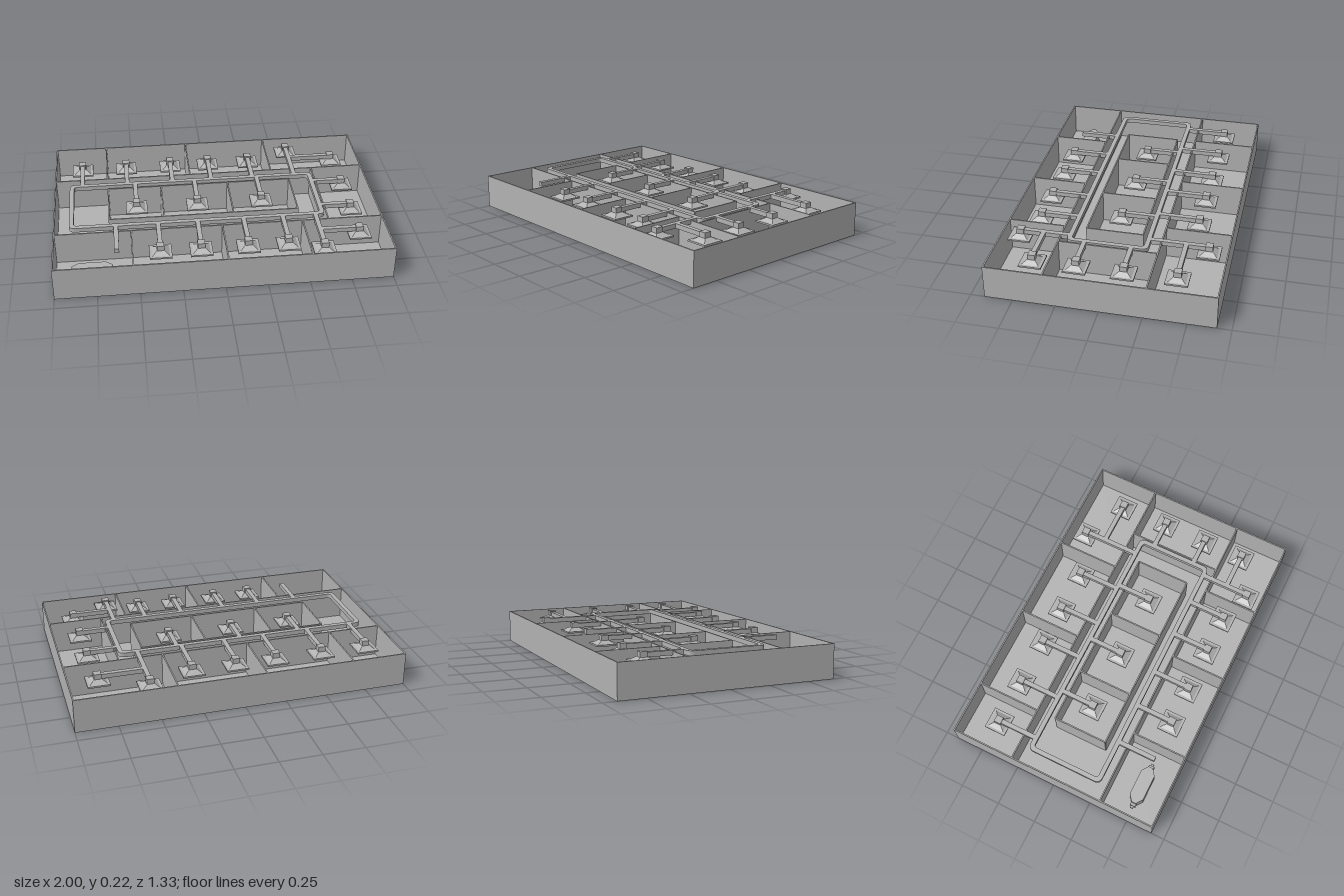
import * as THREE from 'three';

export function createModel() {
  const model = new THREE.Group();
  const grey = new THREE.MeshStandardMaterial({ color: 0xb2b2b2 });
  const W = 2, D = 1.334, H = 0.207, T = 0.008;

  function add(name, geometry, x = 0, y = 0, z = 0, parent = model) {
    const mesh = new THREE.Mesh(geometry, grey);
    mesh.name = name;
    mesh.position.set(x, y, z);
    parent.add(mesh);
    return mesh;
  }

  // Box spanning two corners in plan, between two heights
  function block(name, x0, x1, z0, z1, y0, y1) {
    add(name, new THREE.BoxGeometry(Math.abs(x1 - x0), y1 - y0, Math.abs(z1 - z0)),
      (x0 + x1) / 2, (y0 + y1) / 2, (z0 + z1) / 2);
  }
  const wallX = (name, z, x0, x1) => block(name, x0, x1, z - T / 2, z + T / 2, 0, H);
  const wallZ = (name, x, z0, z1) => block(name, x - T / 2, x + T / 2, z0, z1, 0, H);

  // Floor and outer walls
  block('floor', -W / 2, W / 2, -D / 2, D / 2, 0, 0.006);
  for (const s of [-1, 1]) {
    wallX('outerWall', s * (D - T) / 2, -W / 2, W / 2);
    wallZ('outerWall', s * (W - T) / 2, -D / 2, D / 2);
  }

  // Corridor walls and room dividers
  const backZ = -0.27, frontZ = 0.32;
  wallX('corridorWall', backZ, -1, 1);
  wallX('corridorWall', frontZ, -1, 1);
  wallZ('corridorWall', 0.665, backZ, frontZ);
  for (const x of [-0.667, -0.13, 0.4]) wallZ('backRoomWall', x, -D / 2, backZ);
  for (const x of [-0.535, 0.015, 0.505]) wallZ('frontRoomWall', x, frontZ, D / 2);
  for (const x of [-0.663, -0.327, 0.1, 0.5]) wallZ('coreWall', x, -0.15, 0.19);
  for (const z of [-0.15, 0.19]) wallX('coreWall', z, -0.663, 0.5);

  // Main duct: a rounded rectangular ring
  const duct0 = 0.185, duct1 = 0.213;
  function roundedRect(path, x0, x1, z0, z1, r) {
    path.moveTo(x0 + r, z0);
    path.lineTo(x1 - r, z0);
    path.quadraticCurveTo(x1, z0, x1, z0 + r);
    path.lineTo(x1, z1 - r);
    path.quadraticCurveTo(x1, z1, x1 - r, z1);
    path.lineTo(x0 + r, z1);
    path.quadraticCurveTo(x0, z1, x0, z1 - r);
    path.lineTo(x0, z0 + r);
    path.quadraticCurveTo(x0, z0, x0 + r, z0);
    return path;
  }
  // Extrude a plan outline (x, z) upwards
  function planExtrude(shape, height) {
    const g = new THREE.ExtrudeGeometry(shape, { depth: height, bevelEnabled: false, curveSegments: 6 });
    return g.rotateX(Math.PI / 2).translate(0, height, 0);
  }
  const ring = roundedRect(new THREE.Shape(), -0.905, 0.652, -0.208, 0.275, 0.04);
  ring.holes.push(roundedRect(new THREE.Path(), -0.877, 0.624, -0.18, 0.247, 0.02));
  add('mainDuct', planExtrude(ring, duct1 - duct0), 0, duct0, 0);

  // Ceiling diffusers: rim plate, sloped hood and square neck
  const hoodGeometry = new THREE.CylinderGeometry(0.05 * Math.SQRT1_2, 0.104 * Math.SQRT1_2, 0.018, 4)
    .rotateY(Math.PI / 4).toNonIndexed();
  hoodGeometry.computeVertexNormals();
  const rimGeometry = new THREE.BoxGeometry(0.133, 0.01, 0.133);
  const neckGeometry = new THREE.BoxGeometry(0.044, 0.04, 0.044);
  function diffuser(x, z) {
    const g = new THREE.Group();
    g.name = 'diffuser';
    g.position.set(x, 0, z);
    add('diffuserRim', rimGeometry, 0, 0.165, 0, g);
    add('diffuserHood', hoodGeometry, 0, 0.179, 0, g);
    add('diffuserNeck', neckGeometry, 0, 0.2, 0, g);
    model.add(g);
  }

  // Branch ducts
  const R = 0.014;
  const branchZ = (x, z0, z1) => block('branchDuct', x - R, x + R, z0, z1, duct0, duct1);
  const branchX = (z, x0, x1) => block('branchDuct', x0, x1, z - R, z + R, duct0, duct1);
  // Each entry: x, duct start z, diffuser z
  const alongZ = [
    ...[-0.825, -0.54, -0.25, 0, 0.267].map(x => [x, -0.2, -0.45]),
    ...[-0.49, -0.11, 0.293].map(x => [x, -0.19, 0.02]),
    ...[-0.37, -0.13, 0.15, 0.39].map(x => [x, 0.265, 0.495]),
    [0.54, -0.2, -0.55], [0.593, 0.265, 0.565],
  ];
  for (const [x, z0, z1] of alongZ) {
    branchZ(x, z0, z1);
    diffuser(x, z1);
  }
  // Each entry: z, duct start x, diffuser x
  for (const [z, x0, x1] of [[-0.415, 0.54, 0.82], [-0.11, 0.64, 0.83], [0.167, 0.64, 0.83], [0.425, 0.593, 0.83]]) {
    branchX(z, x0, x1);
    diffuser(x1, z);
  }
  branchZ(-0.625, 0.265, 0.505);

  // Air handling unit standing on the floor, tapered at both ends
  const outline = [[-0.12, -0.014], [-0.08, -0.044], [0.08, -0.044], [0.12, -0.014],
    [0.12, 0.014], [0.08, 0.044], [-0.08, 0.044], [-0.12, 0.014]];
  const body = new THREE.Shape(outline.map(([x, z]) => new THREE.Vector2(x, z)));
  add('airUnitBody', planExtrude(body, 0.08), -0.775, 0.006, 0.495);
  for (const s of [-1, 1]) {
    add('airUnitCollar', new THREE.BoxGeometry(0.018, 0.035, 0.035), -0.775 + s * 0.126, 0.046, 0.495);
    add('airUnitSpigot', new THREE.BoxGeometry(0.02, 0.016, 0.016), -0.775 + s * 0.14, 0.046, 0.495);
  }
  return model;
}
